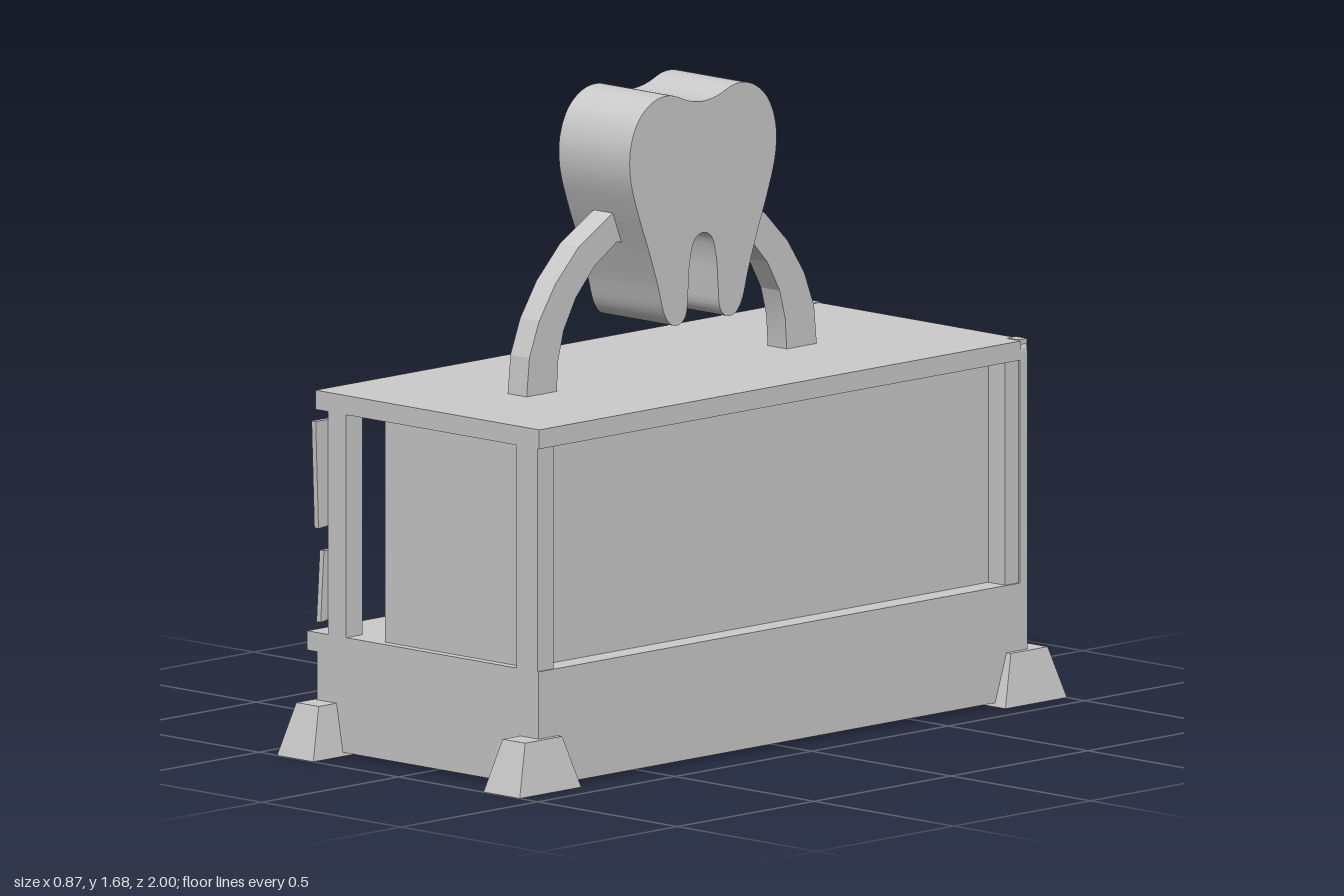
import * as THREE from 'three';
import { toCreasedNormals } from 'three/addons/utils/BufferGeometryUtils.js';

const material = new THREE.MeshStandardMaterial({ color: 0xcccccc });

export function createModel() {
  const model = new THREE.Group();

  const add = (name, geometry) => {
    const mesh = new THREE.Mesh(geometry, material);
    mesh.name = name;
    model.add(mesh);
    return mesh;
  };

  // Box given by its min and max on each axis
  const box = (name, x0, x1, y0, y1, z0, z1) => {
    const g = new THREE.BoxGeometry(x1 - x0, y1 - y0, z1 - z0);
    g.translate((x0 + x1) / 2, (y0 + y1) / 2, (z0 + z1) / 2);
    return add(name, g);
  };

  // Side profile of [z, y] points, extruded from x0 to x1
  const sideExtrude = (name, points, x0, x1, crease = 0.2) => {
    const shape = new THREE.Shape(points.map(([z, y]) => new THREE.Vector2(z, y)));
    const g = new THREE.ExtrudeGeometry(shape, { depth: x1 - x0, bevelEnabled: false });
    g.rotateY(-Math.PI / 2).translate(x1, 0, 0);
    return add(name, toCreasedNormals(g, crease));
  };

  // Cabinet base, ledge and top
  box('base', -0.4, 0.395, 0.01, 0.31, -0.87, 0.89);
  box('sideLedge', -0.435, -0.4, 0.26, 0.31, -0.87, 0.89);
  box('top', -0.405, 0.397, 0.89, 0.94, -0.87, 0.89);

  // Posts
  box('frontLeftPost', 0.315, 0.39, 0.31, 0.89, 0.83, 0.89);
  box('backLeftPost', 0.315, 0.39, 0.31, 0.89, -0.87, -0.82);
  box('frontRightPost', -0.36, -0.295, 0.31, 0.89, 0.83, 0.89);
  box('middleRightPost', -0.36, -0.3, 0.31, 0.89, -0.1, -0.04);
  box('backRightPost', -0.36, -0.3, 0.31, 0.89, -0.87, -0.82);

  // Thin wall panels, set back from the posts
  box('leftPanel', 0.315, 0.33, 0.31, 0.89, -0.83, 0.84);
  box('frontPanel', -0.18, 0.32, 0.31, 0.89, 0.85, 0.865);

  // Back board with rounded top corners
  const board = new THREE.Shape();
  const w = 0.395, r = 0.03;
  board.moveTo(-w, 0.13);
  board.lineTo(w, 0.13);
  board.lineTo(w, 0.94 - r);
  board.quadraticCurveTo(w, 0.94, w - r, 0.94);
  board.lineTo(-w + r, 0.94);
  board.quadraticCurveTo(-w, 0.94, -w, 0.94 - r);
  const boardGeometry = new THREE.ExtrudeGeometry(board, { depth: 0.027, bevelEnabled: false, curveSegments: 6 });
  add('backBoard', boardGeometry.translate(0, 0, -0.896));

  // Rows of small teeth and a rail on the back board
  for (const side of [-1, 1]) {
    const x = side * 0.345;
    for (let i = 0; i < 17; i++) {
      const y = 0.215 + i * 0.041;
      box('backTooth', x - 0.014, x + 0.014, y, y + 0.02, -0.903, -0.89);
    }
    box('cornerClip', side * 0.37 - 0.02, side * 0.37 + 0.02, 0.895, 0.942, -0.9, -0.87);
  }
  box('backRail', -0.33, 0.33, 0.19, 0.2, -0.901, -0.89);

  // Thin plates on the right front post
  sideExtrude('upperPlate', [[0.8, 0.6], [0.925, 0.59], [0.935, 0.87], [0.8, 0.87]], -0.375, -0.36);
  sideExtrude('lowerPlate', [[0.81, 0.36], [0.917, 0.345], [0.905, 0.53], [0.81, 0.53]], -0.375, -0.36);

  // Tapered feet: box with its upper corners pulled in
  for (const sx of [-1, 1]) for (const sz of [-1, 1]) {
    const g = new THREE.BoxGeometry(0.13, 0.135, 0.225);
    const p = g.attributes.position;
    for (let i = 0; i < p.count; i++) {
      if (p.getY(i) > 0) p.setXYZ(i, p.getX(i) * 0.62, p.getY(i), p.getZ(i) * 0.6);
    }
    g.translate(sx * 0.37, 0.0675, sz * 0.8875);
    const foot = g.toNonIndexed();
    foot.computeVertexNormals();
    add('foot', foot);
  }

  // Curved arms, mirrored about z = 0.05
  const arm = [
    [0.58, 0.94], [0.57, 1.04], [0.535, 1.13], [0.475, 1.22], [0.39, 1.305], [0.27, 1.375], [0.2, 1.4],
    [0.2, 1.29], [0.25, 1.3], [0.33, 1.25], [0.4, 1.175], [0.445, 1.095], [0.465, 1.02], [0.47, 0.94],
  ];
  sideExtrude('frontArm', arm, -0.02, 0.048);
  sideExtrude('backArm', arm.map(([z, y]) => [0.1 - z, y]), -0.02, 0.048);

  // Large tooth: half outline from crown dip to notch between the roots, mirrored
  const half = [
    [0.05, 1.657], [0.12, 1.68], [0.18, 1.672], [0.235, 1.63], [0.265, 1.56], [0.265, 1.48],
    [0.235, 1.38], [0.2, 1.29], [0.165, 1.19], [0.14, 1.11], [0.115, 1.082], [0.085, 1.08],
    [0.063, 1.1], [0.055, 1.16], [0.048, 1.24], [0.03, 1.295],
  ];
  const centre = 0.031;
  const outline = [
    [0, 1.65], ...half, [0, 1.308],
    ...half.slice().reverse().map(([z, y]) => [-z, y]),
  ].map(([z, y]) => new THREE.Vector3(z + centre, y, 0));
  const curve = new THREE.CatmullRomCurve3(outline, true);
  const smooth = curve.getPoints(136).slice(0, -1).map((v) => [v.x, v.y]);
  sideExtrude('tooth', smooth, -0.112, 0.142, 0.7);

  return model;
}
